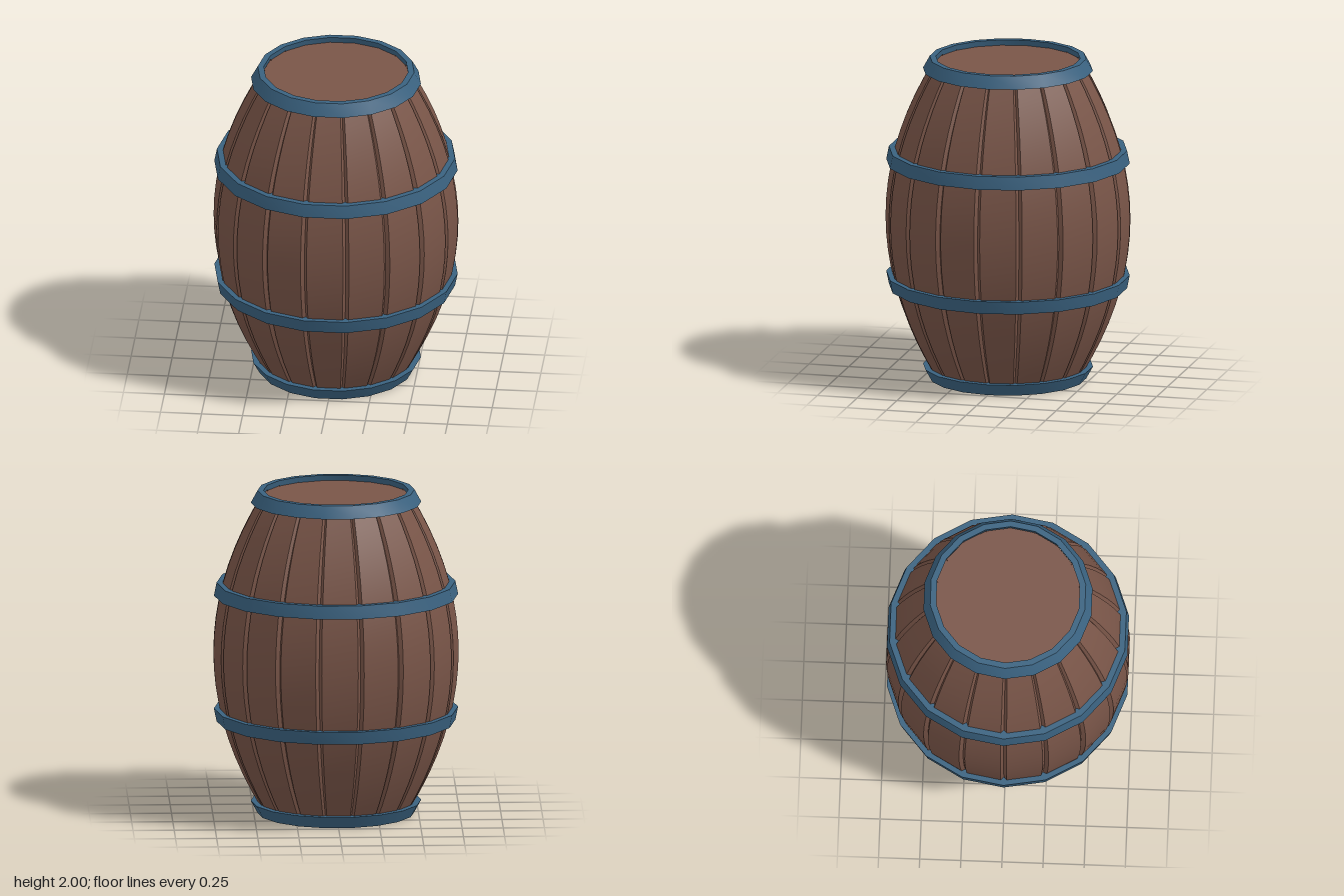
import * as THREE from 'three';
import { toCreasedNormals } from 'three/addons/utils/BufferGeometryUtils.js';

const SIDES = 18;
const STEP = (Math.PI * 2) / SIDES;
const CREASE = 0.6;

const wood = new THREE.MeshStandardMaterial({ color: 0x795548 });
const metal = new THREE.MeshStandardMaterial({ color: 0x3a6280 });

// Bulging barrel profile: corner radius at height y
const radiusAt = (y) => 0.745 - 0.31 * (y - 1) ** 2;

// One flat-faced stave with a bevel on each side, so neighbours form V grooves
function staveGeometry() {
  const half = STEP / 2, bevel = 0.025, depth = 0.02, rows = 18;
  const section = [[-half, depth], [-half + bevel, 0], [half - bevel, 0], [half, depth]];
  const pos = [], index = [], n = section.length;
  for (let i = 0; i <= rows; i++) {
    const y = 0.03 + (1.94 * i) / rows;
    for (const [a, d] of section) {
      const r = radiusAt(y) - d;
      pos.push(r * Math.sin(a), y, r * Math.cos(a));
    }
  }
  for (let i = 0; i < rows; i++) {
    for (let j = 0; j < n - 1; j++) {
      const a = i * n + j, b = a + 1, c = a + n, d = c + 1;
      index.push(a, b, d, a, d, c);
    }
  }
  const geo = new THREE.BufferGeometry();
  geo.setAttribute('position', new THREE.Float32BufferAttribute(pos, 3));
  geo.setIndex(index);
  return toCreasedNormals(geo, CREASE);
}

// Closed band turned from a four-point profile; flip mirrors it to the lower half
function hoop(name, profile, flip) {
  let pts = [...profile, profile[0]].map(([r, y]) => new THREE.Vector2(r, flip ? 2 - y : y));
  if (flip) pts.reverse();
  const geo = new THREE.LatheGeometry(pts, SIDES, STEP / 2);
  const mesh = new THREE.Mesh(toCreasedNormals(geo, CREASE), metal);
  mesh.name = name;
  return mesh;
}

export function createModel() {
  const barrel = new THREE.Group();
  barrel.name = 'barrel';

  // Staves
  const staves = new THREE.Group();
  staves.name = 'staves';
  const geo = staveGeometry();
  for (let i = 0; i < SIDES; i++) {
    const stave = new THREE.Mesh(geo, wood);
    stave.name = 'stave' + (i + 1);
    stave.rotation.y = i * STEP;
    staves.add(stave);
  }
  barrel.add(staves);

  // Recessed heads at both ends
  for (const [name, y] of [['topHead', 1.95], ['bottomHead', 0.05]]) {
    const head = new THREE.Mesh(new THREE.CylinderGeometry(0.445, 0.445, 0.03, SIDES, 1, false, STEP / 2), wood);
    head.name = name;
    head.position.y = y;
    barrel.add(head);
  }

  // Hoops: profile runs inner bottom, outer bottom, outer top, inner top
  const endHoop = [[0.455, 1.925], [0.518, 1.925], [0.477, 2], [0.44, 2]];
  const bodyHoop = [[0.68, 1.35], [0.742, 1.35], [0.726, 1.43], [0.66, 1.43]];
  barrel.add(
    hoop('topHoop', endHoop, false),
    hoop('upperHoop', bodyHoop, false),
    hoop('lowerHoop', bodyHoop, true),
    hoop('bottomHoop', endHoop, true),
  );
  return barrel;
}
